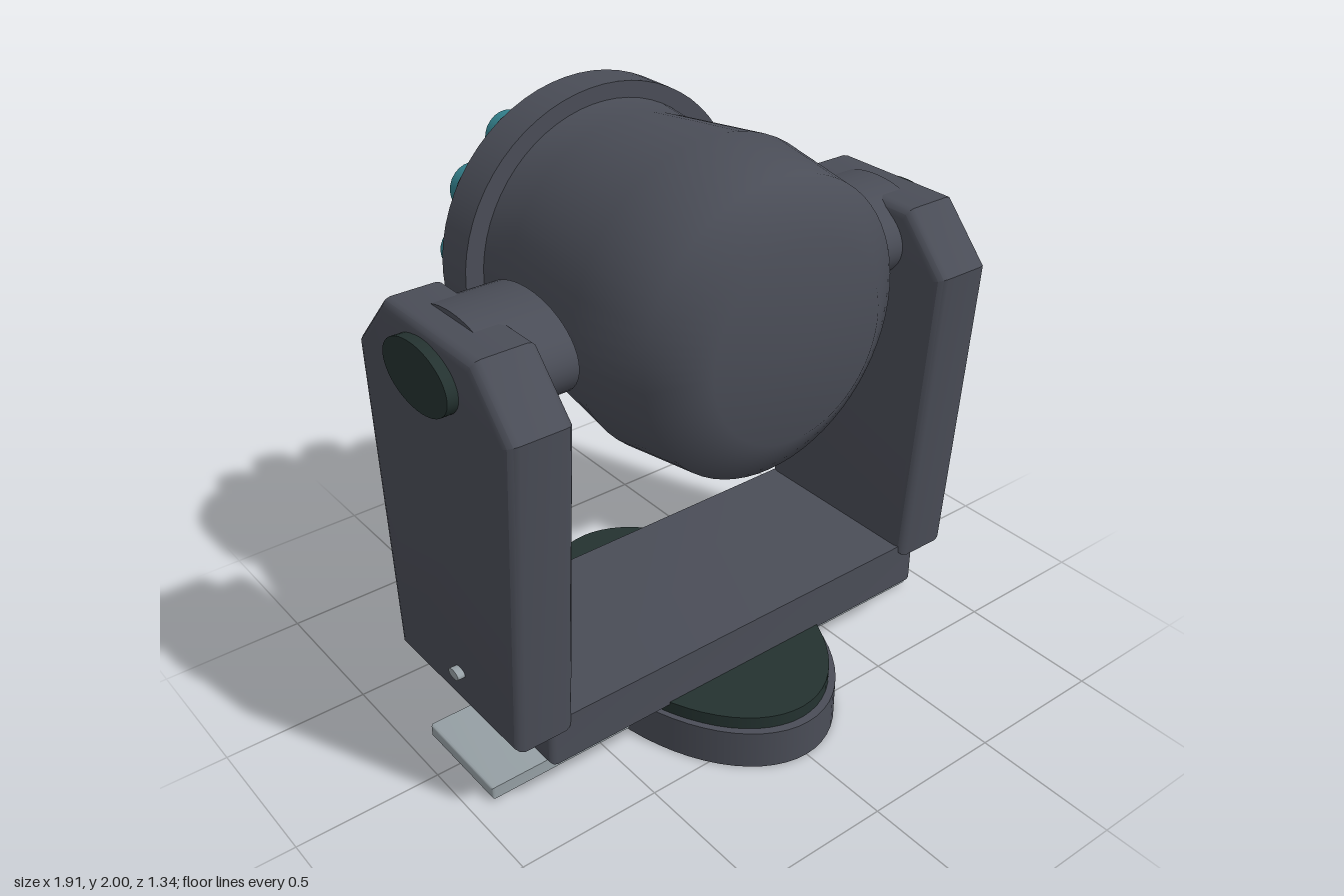
import * as THREE from 'three';
import { toCreasedNormals } from 'three/addons/utils/BufferGeometryUtils.js';

const material = (name, color) => {
  const m = new THREE.MeshStandardMaterial({ color });
  m.name = name;
  return m;
};

export function createModel() {
  const casing = material('charcoal casing', 0x4a4d57);
  const rubber = material('dark green rubber', 0x243230);
  const lens = material('teal lens', 0x33808c);
  const metal = material('light grey metal', 0x97a1a6);

  const model = new THREE.Group();
  model.name = 'movingHeadLight';
  const CZ = 0.028; // depth centre of the yoke and base
  const HY = 1.47;  // height of the tilt axis

  const add = (parent, name, geometry, mat, x = 0, y = 0, z = 0) => {
    const mesh = new THREE.Mesh(geometry, mat);
    mesh.name = name;
    mesh.position.set(x, y, z);
    parent.add(mesh);
    return mesh;
  };

  // Oval drum lying along an axis, given its two radii
  const drumX = (ry, rz, length, seg = 48) =>
    new THREE.CylinderGeometry(1, 1, length, seg).rotateZ(Math.PI / 2).scale(1, ry, rz);
  const drumY = (rx, rz, length) =>
    new THREE.CylinderGeometry(1, 1, length, 64).scale(rx, 1, rz);
  const drumZ = (rx, ry, length, seg = 64) =>
    new THREE.CylinderGeometry(1, 1, length, seg).rotateX(Math.PI / 2).scale(rx, ry, 1);

  // Bevelled slab: outline drawn in (z, y), thickness centred along x
  const slab = (points, width, bevel) => {
    const shape = new THREE.Shape(points.map(([z, y]) => new THREE.Vector2(z, y)));
    const g = new THREE.ExtrudeGeometry(shape, {
      depth: width - 2 * bevel, bevelThickness: bevel, bevelSize: bevel,
      bevelOffset: -bevel, bevelSegments: 3,
    });
    g.translate(0, 0, -(width - 2 * bevel) / 2).rotateY(-Math.PI / 2);
    return toCreasedNormals(g, 0.6);
  };
  const box = (z0, z1, y0, y1) => [[z0, y0], [z1, y0], [z1, y1], [z0, y1]];

  // Base
  add(model, 'baseDisc', drumY(0.403, 0.643, 0.14), casing, 0, 0.07, CZ);
  add(model, 'panBearing', drumY(0.385, 0.614, 0.045), rubber, 0, 0.1625, CZ);

  // Yoke
  const yoke = new THREE.Group();
  yoke.name = 'yoke';
  model.add(yoke);
  add(yoke, 'crossbar', slab(box(-0.303, 0.358, 0.175, 0.345), 1.585, 0.025), casing);

  const armOutline = [
    [-0.318, 0.305], [0.372, 0.305], [0.446, 1.42],
    [0.275, 1.607], [-0.205, 1.607], [-0.378, 1.42],
  ];
  for (const side of [1, -1]) {
    const label = side > 0 ? 'left' : 'right';
    add(model, label + 'MountingPlate', slab(box(-0.165, 0.215, 0.01, 0.056), 0.545, 0.01),
      metal, side * 0.652);
    add(yoke, label + 'Arm', slab(armOutline, 0.217, 0.035), casing, side * 0.8125);
    add(yoke, label + 'TiltHub', drumX(0.154, 0.25, 0.25), casing, side * 0.695, HY, CZ - 0.008);
    add(yoke, label + 'TiltCap', drumX(0.107, 0.176, 0.045), rubber, side * 0.934, HY, CZ);
    add(yoke, label + 'Screw', drumX(0.017, 0.029, 0.03, 16), metal, side * 0.931, 0.437, 0.07);
  }

  // Head
  const head = new THREE.Group();
  head.name = 'head';
  head.position.y = HY;
  model.add(head);
  const profile = [
    [0.478, -0.39], [0.464, -0.25], [0.516, 0.155], [0.475, 0.44], [0.315, 0.55], [0, 0.55],
  ].map(([r, z]) => new THREE.Vector2(r, z));
  add(head, 'headShell', new THREE.LatheGeometry(profile, 64).rotateX(Math.PI / 2), casing);
  add(head, 'rim', drumZ(0.541, 0.53, 0.137), casing, 0, 0, -0.4435);
  add(head, 'backPlate', drumZ(0.485, 0.475, 0.03), casing, 0, 0, -0.518);

  // Lamps in two rings, each with a backing disc and a centre pin
  const backing = drumZ(0.082, 0.082, 0.016, 24);
  const lamp = drumZ(0.079, 0.079, 0.042, 24);
  const pin = drumZ(0.012, 0.012, 0.03, 10);
  for (const [count, radius] of [[12, 0.388], [6, 0.2]]) {
    for (let i = 0; i < count; i++) {
      const a = (i / count) * Math.PI * 2;
      const x = Math.cos(a) * radius - 0.003, y = Math.sin(a) * radius;
      add(head, 'lampBacking', backing, casing, x, y, -0.597);
      add(head, 'lampLens', lamp, lens, x, y, -0.625);
      add(head, 'lampPin', pin, metal, x, y, -0.649);
    }
  }
  return model;
}
